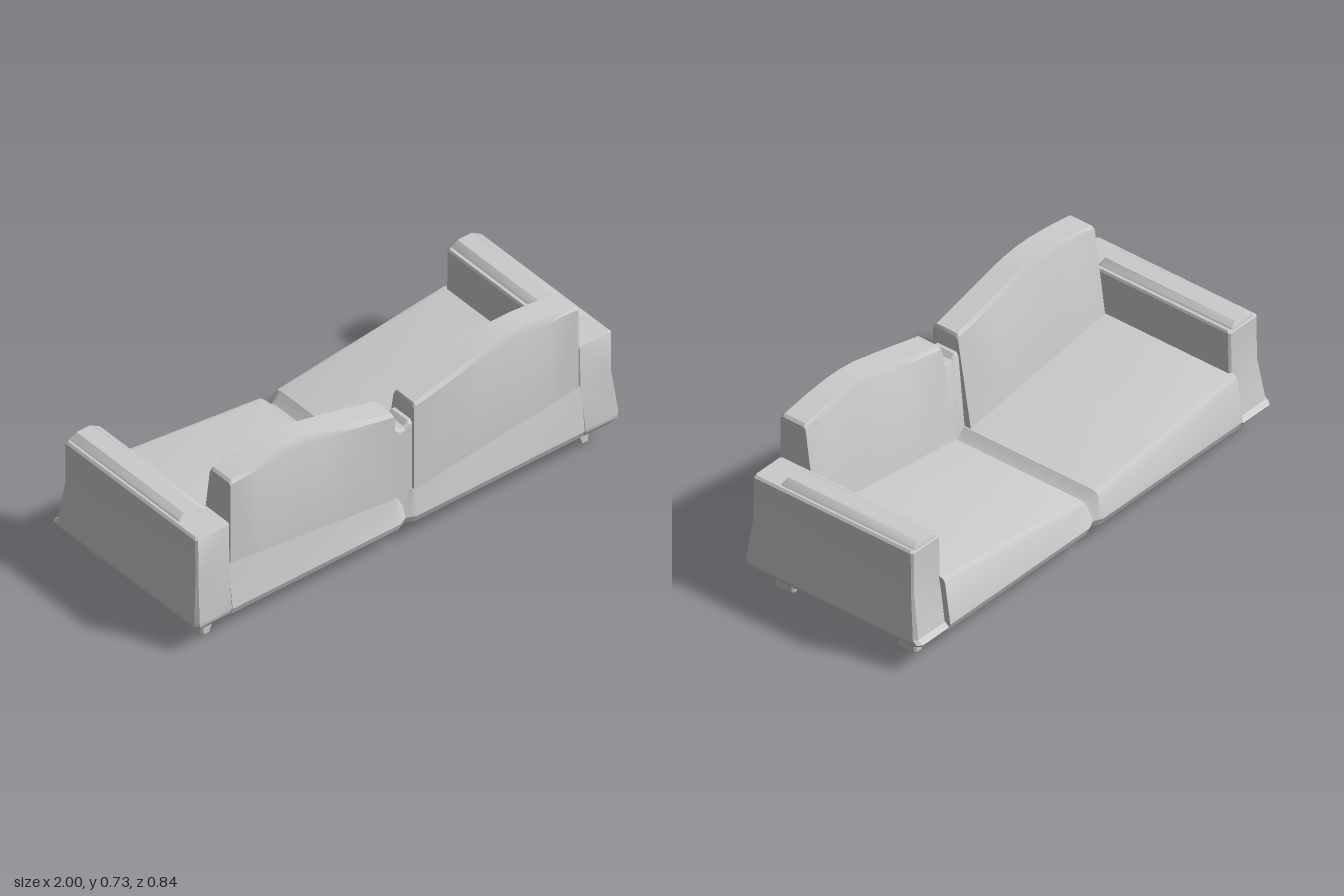
import * as THREE from 'three';
import { toCreasedNormals } from 'three/addons/utils/BufferGeometryUtils.js';

const material = new THREE.MeshStandardMaterial({ color: 0xcccccc });

// Closed solid through equal-sized rings of [x, y, z] points, capped at both ends
function loft(rings) {
  const n = rings[0].length, pos = rings.flat(2), idx = [];
  for (let r = 0; r < rings.length - 1; r++) {
    for (let i = 0; i < n; i++) {
      const a = r * n + i, b = r * n + (i + 1) % n;
      idx.push(a, b, b + n, a, b + n, a + n);
    }
  }
  [[0, 1], [rings.length - 1, -1]].forEach(([r, dir]) => {
    const c = pos.length / 3;
    for (let k = 0; k < 3; k++) pos.push(rings[r].reduce((s, p) => s + p[k], 0) / n);
    for (let i = 0; i < n; i++) {
      const a = r * n + i, b = r * n + (i + 1) % n;
      idx.push(c, dir > 0 ? b : a, dir > 0 ? a : b);
    }
  });
  // Turn the faces outward if the enclosed volume is negative
  const v = i => new THREE.Vector3().fromArray(pos, i * 3);
  let volume = 0;
  for (let i = 0; i < idx.length; i += 3) volume += v(idx[i]).dot(v(idx[i + 1]).cross(v(idx[i + 2])));
  if (volume < 0) idx.reverse();
  const g = new THREE.BufferGeometry();
  g.setAttribute('position', new THREE.Float32BufferAttribute(pos, 3));
  g.setIndex(idx);
  return toCreasedNormals(g, 0.5);
}

// Horizontal rectangle with clipped corners; s mirrors it in x
function rect(s, y, x0, x1, z0, z1, b) {
  return [
    [x0 + b, z0], [x1 - b, z0], [x1, z0 + b], [x1, z1 - b],
    [x1 - b, z1], [x0 + b, z1], [x0, z1 - b], [x0, z0 + b],
  ].map(([x, z]) => [s * x, y, z]);
}

export function createModel() {
  const group = new THREE.Group();
  const add = (name, geometry) => {
    const mesh = new THREE.Mesh(geometry, material);
    mesh.name = name;
    group.add(mesh);
  };

  // Seat and lower back: sagging to a pinched seam in the middle
  const stations = [[0, 0.205, 0.018], [0.015, 0.215, 0.012], [0.04, 0.24, 0], [0.4, 0.281, 0], [0.83, 0.33, 0]];
  const mirrored = [...stations.slice(1).reverse().map(([x, y, p]) => [-x, y, p]), ...stations];
  add('seat', loft(mirrored.map(([x, y, p]) => [
    [0.385, 0.09], [0.408, 0.105], [0.42, 0.135], [0.396, y], [0.28, y],
    [-0.365, y], [-0.385, y - 0.006], [-0.395, y - 0.02], [-0.42, 0.135], [-0.405, 0.102], [-0.355, 0.09],
  ].map(([z, h]) => [x, h, Math.abs(z) > 0.3 ? z - Math.sign(z) * p : z]))));

  // Post filling the gap between the back cushions
  add('backPost', loft([[-0.05, 0.555], [-0.03, 0.555], [-0.012, 0.537], [0.012, 0.537], [0.03, 0.555], [0.05, 0.555]]
    .map(([x, y]) => [[0.385, 0.18], [0.385, y - 0.015], [0.375, y], [0.285, y], [0.275, y - 0.015], [0.24, 0.18]]
      .map(([z, h]) => [x, h, z]))));

  const crown = [[0.045, 0.62, 0.01], [0.052, 0.633, 0.012], [0.25, 0.682, 0.02], [0.42, 0.721, 0.028],
    [0.5, 0.73, 0.03], [0.58, 0.73, 0.03], [0.68, 0.721, 0.025], [0.81, 0.702, 0.012], [0.82, 0.692, 0.01]];

  for (const s of [1, -1]) {
    const side = s > 0 ? 'left' : 'right';

    // Back cushion with an arched top and sloping front
    add(side + 'BackCushion', loft(crown.map(([x, y, b]) => [
      [0.396, 0.22], [0.396, y - b], [0.385, y], [0.288, y], [0.277, y - b], [0.213, 0.22],
    ].map(([z, h]) => [s * x, h, z]))));

    // Armrest flaring out toward a rounded lower rim
    add(side + 'Arm', loft([
      rect(s, 0.09, 0.82, 0.968, -0.355, 0.39, 0.02),
      rect(s, 0.102, 0.82, 0.985, -0.4, 0.405, 0.02),
      rect(s, 0.125, 0.82, 0.999, -0.418, 0.419, 0.016),
      rect(s, 0.14, 0.82, 0.999, -0.397, 0.42, 0.014),
      rect(s, 0.32, 0.82, 0.98, -0.367, 0.397, 0.008),
      rect(s, 0.505, 0.82, 0.98, -0.365, 0.395, 0.008),
      rect(s, 0.514, 0.825, 0.972, -0.358, 0.39, 0.008),
    ]));

    // Raised pad on the armrest
    add(side + 'ArmPad', loft([
      rect(s, 0.51, 0.835, 0.965, -0.362, 0.276, 0.004),
      rect(s, 0.52, 0.842, 0.958, -0.361, 0.273, 0.004),
      rect(s, 0.537, 0.865, 0.932, -0.354, 0.265, 0.004),
    ]));

    // Feet, tapering on the inner side
    for (const z of [0.302, -0.28]) {
      add(side + (z > 0 ? 'Back' : 'Front') + 'Foot', loft([
        rect(s, 0.1, 0.84, 0.916, z - 0.044, z + 0.044, 0.008),
        rect(s, 0.08, 0.847, 0.916, z - 0.044, z + 0.044, 0.008),
        rect(s, 0.01, 0.872, 0.913, z - 0.044, z + 0.044, 0.008),
        rect(s, 0, 0.88, 0.907, z - 0.036, z + 0.036, 0.008),
      ]));
    }
  }
  return group;
}
